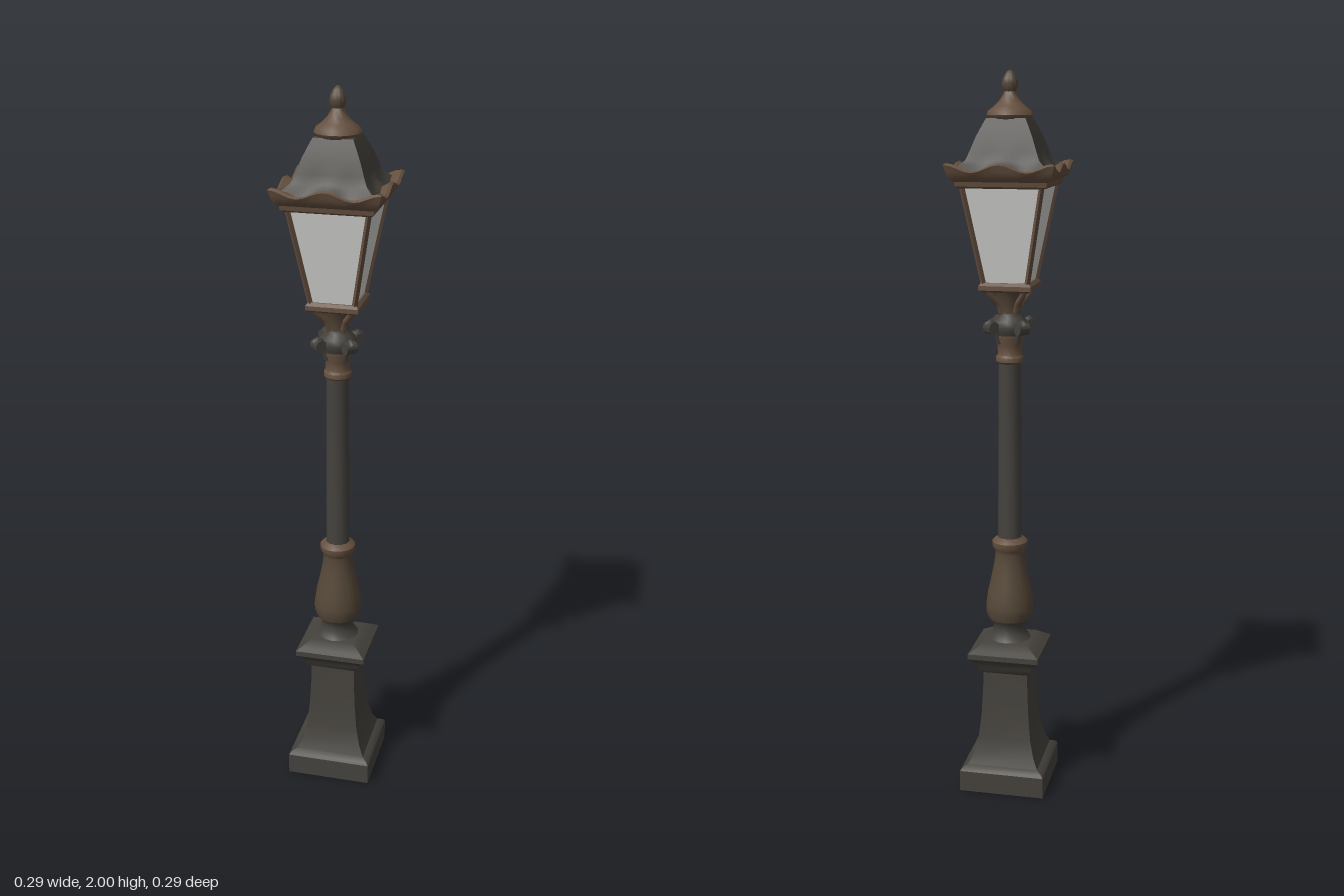
import * as THREE from 'three';
import { toCreasedNormals } from 'three/addons/utils/BufferGeometryUtils.js';

const iron = new THREE.MeshStandardMaterial({ color: 0x45423d });
const rust = new THREE.MeshStandardMaterial({ color: 0x65503f });
const wornIron = new THREE.MeshStandardMaterial({ color: 0x564839 });
const glass = new THREE.MeshStandardMaterial({ color: 0xd3d3d1 });
iron.name = 'darkIron';
rust.name = 'rustyBrown';
wornIron.name = 'wornIron';
glass.name = 'paleGlass';

// Square loft: each section is [half width, y, wave height along the side]
function squareLoft(sections, n = 1) {
  const pos = [], index = [];
  for (let side = 0; side < 4; side++) {
    const start = pos.length / 3;
    for (const [h, y, wave = 0] of sections) {
      for (let i = 0; i <= n; i++) {
        const u = (2 * i) / n - 1;
        let x = h * u, z = h;
        for (let k = 0; k < side; k++) [x, z] = [z, -x];
        pos.push(x, y + wave * Math.cos(2 * Math.PI * u), z);
      }
    }
    for (let j = 0; j < sections.length - 1; j++) {
      for (let i = 0; i < n; i++) {
        const a = start + j * (n + 1) + i, d = a + n + 1;
        index.push(a, a + 1, d + 1, a, d + 1, d);
      }
    }
  }
  const geo = new THREE.BufferGeometry();
  geo.setAttribute('position', new THREE.Float32BufferAttribute(pos, 3));
  geo.setIndex(index);
  return toCreasedNormals(geo, 0.6);
}

// Round turned part from [radius, y] pairs, bottom to top
function turned(profile, sides = 16) {
  const geo = new THREE.LatheGeometry(profile.map(([r, y]) => new THREE.Vector2(r, y)), sides);
  return toCreasedNormals(geo, 0.75);
}

// Square bar between two points
function bar(a, b, r) {
  const dir = b.clone().sub(a);
  const geo = new THREE.CylinderGeometry(r, r, dir.length(), 4).toNonIndexed();
  geo.computeVertexNormals();
  geo.applyQuaternion(new THREE.Quaternion().setFromUnitVectors(new THREE.Vector3(0, 1, 0), dir.normalize()));
  const mid = a.clone().add(b).multiplyScalar(0.5);
  return geo.translate(mid.x, mid.y, mid.z);
}

export function createModel() {
  const group = new THREE.Group();
  const add = (name, geo, mat, parent = group) => {
    const mesh = new THREE.Mesh(geo, mat);
    mesh.name = name;
    parent.add(mesh);
    return mesh;
  };

  // Pedestal with a flared foot and a moulded cap
  add('pedestal', squareLoft([
    [0.001, 0], [0.12, 0], [0.12, 0.06], [0.114, 0.068], [0.1, 0.075], [0.086, 0.105],
    [0.075, 0.15], [0.068, 0.22], [0.064, 0.3], [0.063, 0.35],
  ]), iron);
  add('pedestalCap', squareLoft([
    [0.063, 0.345], [0.073, 0.353], [0.078, 0.368], [0.09, 0.385], [0.1, 0.395],
    [0.1, 0.41], [0.088, 0.418], [0.062, 0.435], [0.001, 0.44],
  ]), iron);

  // Post, from the pedestal up to the capital
  add('postFoot', turned([
    [0.07, 0.425], [0.056, 0.44], [0.047, 0.455], [0.045, 0.475], [0.054, 0.49], [0.06, 0.5],
  ]), iron);
  add('postBulb', turned([
    [0.06, 0.495], [0.067, 0.515], [0.068, 0.535], [0.063, 0.57], [0.054, 0.61],
    [0.046, 0.65], [0.041, 0.685], [0.042, 0.695],
  ]), wornIron);
  add('lowerCollar', turned([
    [0.041, 0.692], [0.045, 0.7], [0.05, 0.71], [0.05, 0.722], [0.042, 0.73], [0.033, 0.735],
  ]), rust);
  add('shaft', turned([[0.034, 0.725], [0.031, 1.24]], 12), iron);
  add('upperCollar', turned([
    [0.031, 1.228], [0.038, 1.234], [0.038, 1.246], [0.033, 1.252], [0.034, 1.28], [0.042, 1.3], [0.042, 1.308],
  ]), rust);
  add('capital', turned([
    [0.036, 1.295], [0.046, 1.315], [0.05, 1.33], [0.047, 1.345], [0.032, 1.358], [0.028, 1.37],
  ]), iron);

  // Four scrolls on the diagonals of the capital
  for (let i = 0; i < 4; i++) {
    const pivot = new THREE.Group();
    pivot.name = 'capitalScroll';
    pivot.rotation.y = Math.PI / 4 + (i * Math.PI) / 2;
    group.add(pivot);
    const leaf = new THREE.CatmullRomCurve3([
      new THREE.Vector3(0, 1.285, 0.033), new THREE.Vector3(0, 1.315, 0.043),
      new THREE.Vector3(0, 1.345, 0.06), new THREE.Vector3(0, 1.335, 0.075),
    ]);
    add('scrollLeaf', new THREE.TubeGeometry(leaf, 10, 0.009, 6), iron, pivot);
    const curl = new THREE.CylinderGeometry(0.017, 0.017, 0.032, 12);
    curl.rotateZ(Math.PI / 2).translate(0, 1.329, 0.06);
    add('scrollCurl', toCreasedNormals(curl, 0.75), iron, pivot);

    // Curved bracket under each lantern corner
    const bracket = new THREE.CatmullRomCurve3([
      new THREE.Vector3(0, 1.365, 0.025), new THREE.Vector3(0, 1.39, 0.036),
      new THREE.Vector3(0, 1.415, 0.06), new THREE.Vector3(0, 1.437, 0.075),
    ]);
    add('lanternBracket', new THREE.TubeGeometry(bracket, 10, 0.009, 6), rust, pivot);
  }
  add('lanternNeck', turned([
    [0.029, 1.355], [0.03, 1.375], [0.036, 1.395], [0.042, 1.415], [0.05, 1.43],
  ], 12), wornIron);

  // Lantern floor, panes and frame
  add('lanternFloor', squareLoft([
    [0.001, 1.427], [0.062, 1.427], [0.071, 1.433], [0.071, 1.445], [0.064, 1.453], [0.001, 1.453],
  ]), rust);
  add('lanternPanes', squareLoft([[0.059, 1.45], [0.106, 1.71]]), glass);
  for (const sx of [-1, 1]) {
    for (const sz of [-1, 1]) {
      add('lanternPost', bar(
        new THREE.Vector3(sx * 0.059, 1.447, sz * 0.059),
        new THREE.Vector3(sx * 0.106, 1.71, sz * 0.106), 0.0075), rust);
    }
  }

  // Wavy eaves and concave roof
  add('eaves', squareLoft([
    [0.001, 1.702], [0.113, 1.702], [0.12, 1.707], [0.122, 1.719], [0.133, 1.727],
    [0.14, 1.74, 0.006], [0.145, 1.753, 0.01], [0.138, 1.757, 0.01], [0.12, 1.747, 0.009], [0.1, 1.745, 0.008],
  ], 16), rust);
  add('roof', squareLoft([
    [0.122, 1.742, 0.008], [0.11, 1.755, 0.006], [0.097, 1.77, 0.003], [0.088, 1.795],
    [0.075, 1.83], [0.061, 1.86], [0.052, 1.878], [0.001, 1.882],
  ], 16), iron);

  // Round cap and finial
  add('roofCap', turned([
    [0.045, 1.87], [0.058, 1.877], [0.062, 1.886], [0.057, 1.897], [0.042, 1.908], [0.028, 1.922], [0.017, 1.94], [0.014, 1.948],
  ]), rust);
  add('finial', turned([
    [0.014, 1.943], [0.019, 1.952], [0.022, 1.965], [0.019, 1.978], [0.012, 1.99], [0.006, 1.997], [0, 2],
  ], 12), wornIron);

  return group;
}
